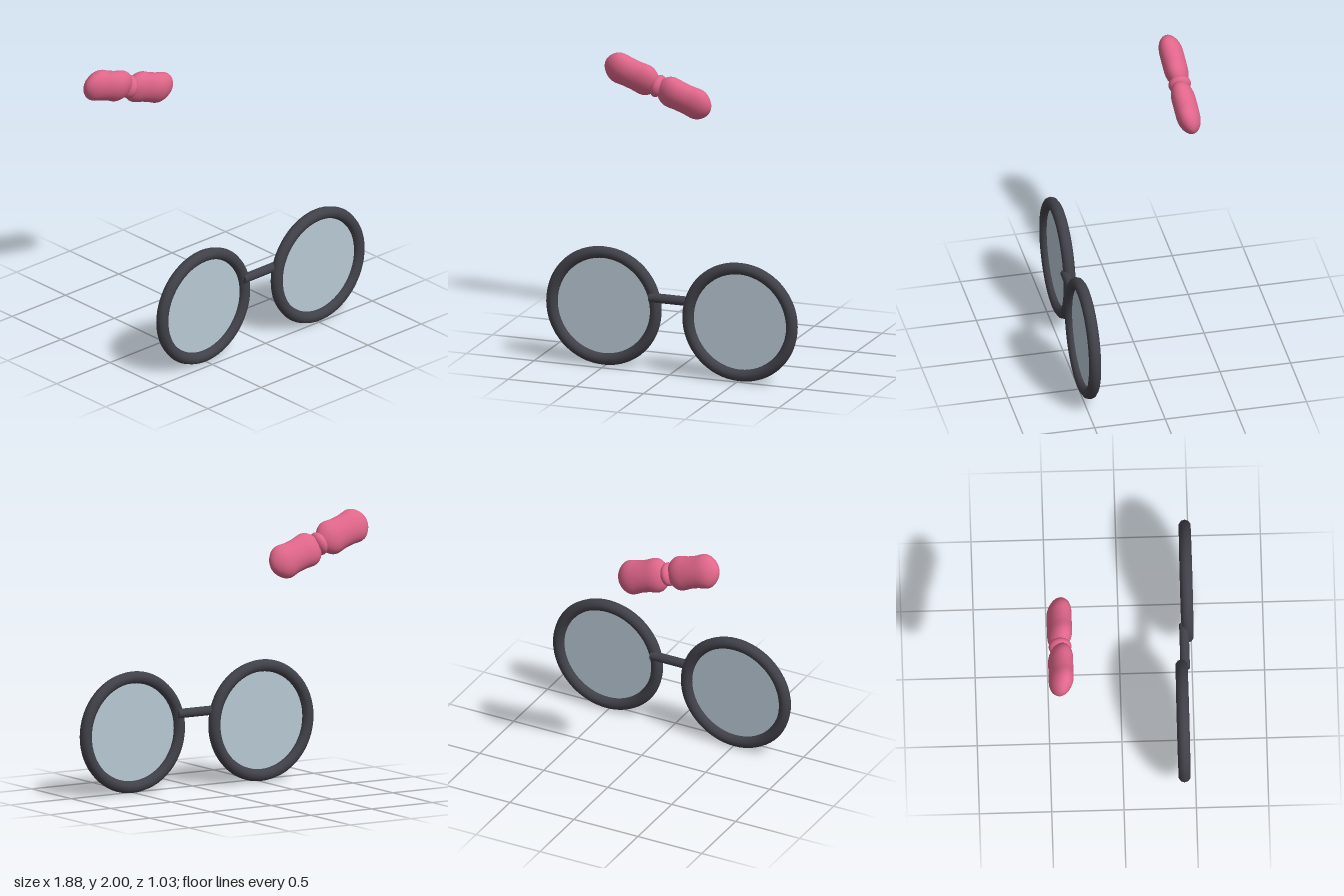
import * as THREE from 'three';

const frameMat = new THREE.MeshStandardMaterial({ color: 0x41414a });
frameMat.name = 'charcoal frame';
const lensMat = new THREE.MeshStandardMaterial({ color: 0xb8c8d4, side: THREE.DoubleSide });
lensMat.name = 'pale blue glass';
const bowMat = new THREE.MeshStandardMaterial({ color: 0xe0668a });
bowMat.name = 'pink bow';

function part(name, geometry, material, x, y, z) {
  const mesh = new THREE.Mesh(geometry, material);
  mesh.name = name;
  mesh.position.set(x, y, z);
  return mesh;
}

// Pillow-like loop: a sphere stretched along x, pinched slightly at its middle
function lobeGeometry() {
  const g = new THREE.SphereGeometry(1, 40, 28);
  g.rotateZ(Math.PI / 2);
  const p = g.attributes.position;
  for (let i = 0; i < p.count; i++) {
    const s = p.getX(i);
    const swell = THREE.MathUtils.smoothstep(Math.abs(s), 0.08, 0.75);
    p.setXYZ(i, s * 0.208, p.getY(i) * (0.113 + 0.038 * swell), p.getZ(i) * (0.083 + 0.014 * swell));
  }
  g.computeVertexNormals();
  return g;
}

export function createModel() {
  const model = new THREE.Group();
  model.name = 'glassesAndBow';

  // Round glasses, one rim set a little further forward
  const glasses = new THREE.Group();
  glasses.name = 'glasses';
  for (const [side, x, z] of [['right', -0.513, 0.422], ['left', 0.513, 0.473]]) {
    glasses.add(part(side + 'Rim', new THREE.TorusGeometry(0.3835, 0.0422, 10, 64), frameMat, x, 0.428, z));
    glasses.add(part(side + 'Lens', new THREE.CircleGeometry(0.3835, 64), lensMat, x, 0.428, z));
  }
  const bridge = part('bridge', new THREE.CylinderGeometry(0.033, 0.033, 0.325, 16), frameMat, -0.002, 0.529, 0.447);
  bridge.rotation.z = Math.PI / 2;
  glasses.add(bridge);
  model.add(glasses);

  // Hair bow: slanted sideways and tipped forward about its long axis
  const bow = new THREE.Group();
  bow.name = 'bow';
  bow.position.set(-0.438, 1.786, -0.426);
  bow.rotation.set(0.34, 0, -0.34, 'ZYX');
  const lobe = lobeGeometry();
  bow.add(part('rightLoop', lobe, bowMat, -0.203, 0, 0));
  bow.add(part('leftLoop', lobe, bowMat, 0.203, 0, 0));
  const knot = part('knot', new THREE.SphereGeometry(1, 24, 18), bowMat, 0, 0, 0);
  knot.scale.set(0.048, 0.083, 0.079);
  bow.add(knot);
  model.add(bow);

  return model;
}
